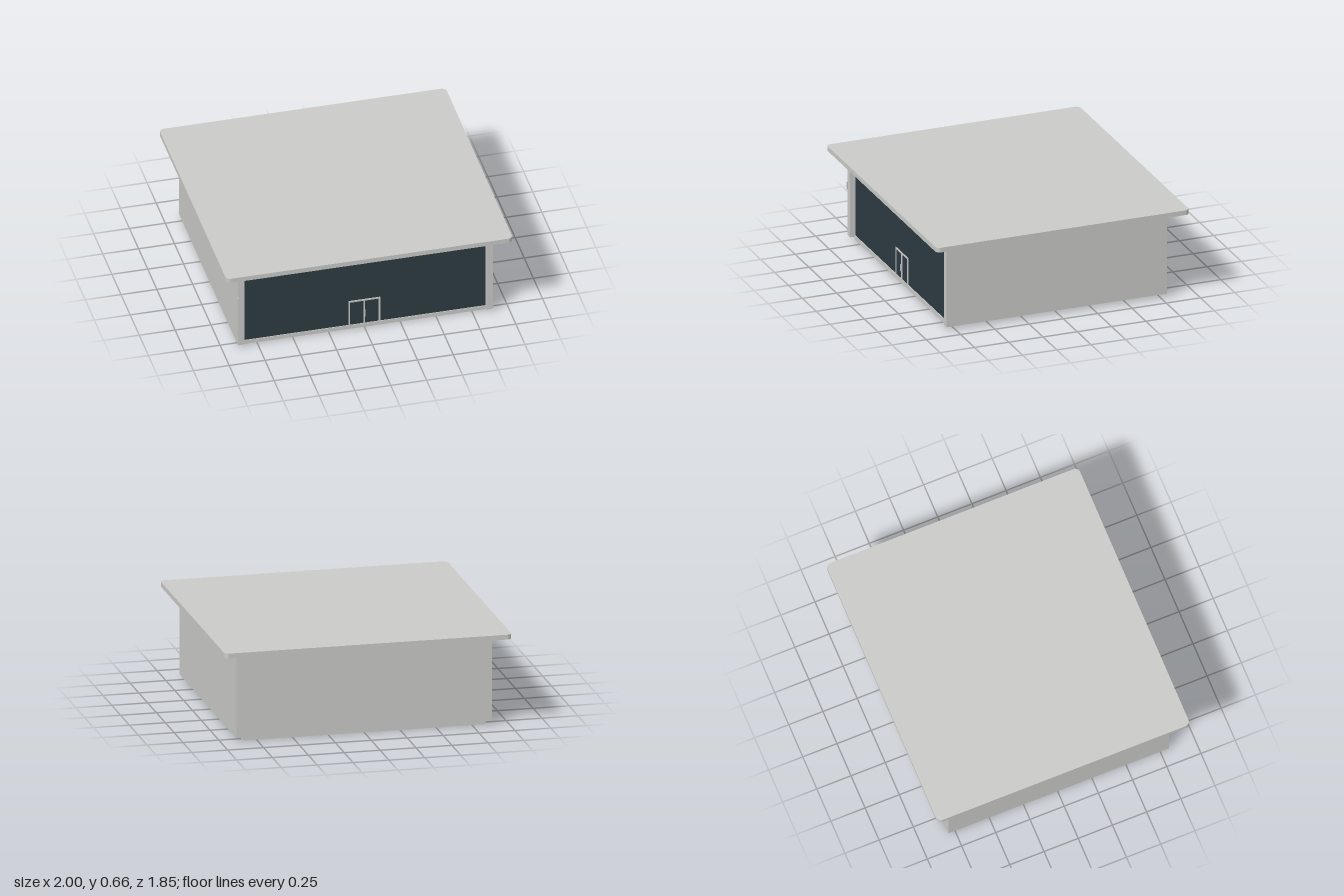
import * as THREE from 'three';

export function createModel() {
  const group = new THREE.Group();
  const concrete = new THREE.MeshStandardMaterial({ color: 0xcacac8 });
  concrete.name = 'pale concrete';
  const glass = new THREE.MeshStandardMaterial({ color: 0x2d3b42 });
  glass.name = 'dark glass';

  // Box given by its lower and upper corners
  function box(name, material, [x0, y0, z0], [x1, y1, z1]) {
    const mesh = new THREE.Mesh(new THREE.BoxGeometry(x1 - x0, y1 - y0, z1 - z0), material);
    mesh.position.set((x0 + x1) / 2, (y0 + y1) / 2, (z0 + z1) / 2);
    mesh.name = name;
    group.add(mesh);
    return mesh;
  }

  // Floor and ceiling slabs, set in from the side walls
  box('floorSlab', concrete, [-0.845, 0, -0.8], [0.845, 0.03, 0.777]);
  box('ceilingSlab', concrete, [-0.845, 0.595, -0.8], [0.845, 0.621, 0.777]);

  // Side walls and back wall
  box('leftWall', concrete, [0.845, 0.02, -0.8], [0.89, 0.602, 0.81]);
  box('rightWall', concrete, [-0.89, 0.02, -0.8], [-0.845, 0.602, 0.81]);
  box('backWall', concrete, [-0.845, 0.02, -0.8], [0.845, 0.602, -0.76]);

  // Glazed front
  box('frontGlass', glass, [-0.845, 0.03, 0.762], [0.845, 0.595, 0.772]);

  // Double door frame with pull handles
  const z0 = 0.768, z1 = 0.777;
  for (const s of [-1, 1]) {
    const a = s * 0.099, b = s * 0.111;
    box('doorJamb', concrete, [Math.min(a, b), 0.03, z0], [Math.max(a, b), 0.225, z1]);
    box('doorHandle', concrete, [s * 0.0045 - 0.0015, 0.09, z1], [s * 0.0045 + 0.0015, 0.14, z1 + 0.01]);
  }
  box('doorHead', concrete, [-0.099, 0.213, z0], [0.099, 0.225, z1]);
  box('doorStile', concrete, [-0.006, 0.03, z0], [0.006, 0.213, z1]);

  // Small bracket on the front edge of the right wall
  box('wallBracket', concrete, [-0.892, 0.355, 0.8], [-0.884, 0.41, 0.816]);

  // Overhanging flat roof with rounded corners
  const w = 1, d = 0.923, r = 0.035;
  const outline = new THREE.Shape();
  outline.absarc(w - r, d - r, r, 0, Math.PI / 2);
  outline.absarc(-w + r, d - r, r, Math.PI / 2, Math.PI);
  outline.absarc(-w + r, -d + r, r, Math.PI, Math.PI * 1.5);
  outline.absarc(w - r, -d + r, r, Math.PI * 1.5, Math.PI * 2);
  const roof = new THREE.Mesh(
    new THREE.ExtrudeGeometry(outline, { depth: 0.034, bevelEnabled: false, curveSegments: 8 }),
    concrete
  );
  roof.rotation.x = -Math.PI / 2;
  roof.position.y = 0.621;
  roof.name = 'roof';
  group.add(roof);

  return group;
}
